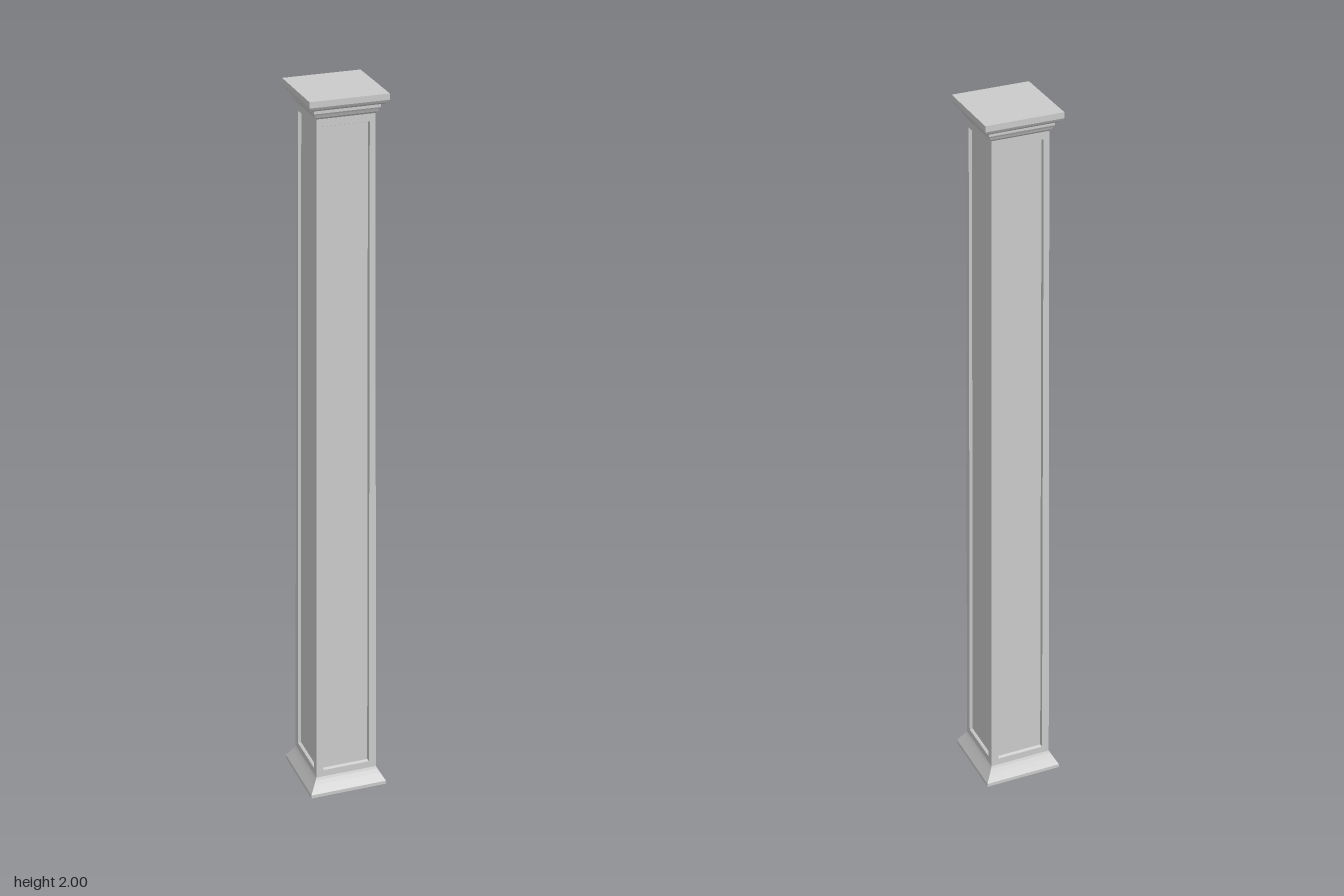
import * as THREE from 'three';

const material = new THREE.MeshStandardMaterial({ color: 0xcccccc, flatShading: true });

// Square moulding: a [halfWidth, y] profile swept round four sides
function squareMoulding(name, profile) {
  const points = profile.map(([half, y]) => new THREE.Vector2(half * Math.SQRT2, y));
  const geometry = new THREE.LatheGeometry(points, 4, Math.PI / 4).toNonIndexed();
  geometry.computeVertexNormals();
  const mesh = new THREE.Mesh(geometry, material);
  mesh.name = name;
  return mesh;
}

const SHAFT_BOTTOM = 0.045, SHAFT_TOP = 1.955;
const shaftHalf = (y) =>
  THREE.MathUtils.mapLinear(y, SHAFT_BOTTOM, SHAFT_TOP, 0.088, 0.077);

// Four corners of a tapered rectangle lying at some depth behind the shaft face
function ring(y0, y1, half0, half1, depth) {
  const z0 = shaftHalf(y0) - depth, z1 = shaftHalf(y1) - depth;
  return [[-half0, y0, z0], [half0, y0, z0], [half1, y1, z1], [-half1, y1, z1]];
}

// One shaft side: flat frame, sloping recess walls and a sunken panel
function shaftSideGeometry() {
  const rings = [
    ring(SHAFT_BOTTOM, SHAFT_TOP, shaftHalf(SHAFT_BOTTOM), shaftHalf(SHAFT_TOP), 0),
    ring(0.07, 1.925, 0.067, 0.062, 0),
    ring(0.073, 1.922, 0.065, 0.06, 0.008),
  ];
  const positions = [];
  const quad = (a, b, c, d) => positions.push(...a, ...b, ...c, ...a, ...c, ...d);
  for (let r = 0; r < rings.length - 1; r++) {
    for (let i = 0; i < 4; i++) {
      const j = (i + 1) % 4;
      quad(rings[r][i], rings[r][j], rings[r + 1][j], rings[r + 1][i]);
    }
  }
  quad(...rings[rings.length - 1]);
  const geometry = new THREE.BufferGeometry();
  geometry.setAttribute('position', new THREE.Float32BufferAttribute(positions, 3));
  geometry.computeVertexNormals();
  return geometry;
}

export function createModel() {
  const column = new THREE.Group();
  column.name = 'panelledColumn';

  // Flared foot
  column.add(squareMoulding('base', [
    [0, 0], [0.11, 0], [0.11, 0.01], [0.104, 0.02], [0.097, 0.032],
    [0.091, 0.043], [0.088, 0.05],
  ]));

  // Tapered shaft with a recessed panel on every side
  const shaft = new THREE.Group();
  shaft.name = 'shaft';
  const sideGeometry = shaftSideGeometry();
  ['front', 'left', 'back', 'right'].forEach((side, i) => {
    const mesh = new THREE.Mesh(sideGeometry, material);
    mesh.name = side + 'Panel';
    mesh.rotation.y = i * Math.PI / 2;
    shaft.add(mesh);
  });
  column.add(shaft);

  // Stepped capital with a flat top
  column.add(squareMoulding('capital', [
    [0.077, 1.945], [0.081, 1.95], [0.084, 1.957], [0.087, 1.962], [0.087, 1.97],
    [0.094, 1.972], [0.1, 1.977], [0.104, 1.984], [0.104, 2], [0, 2],
  ]));

  return column;
}
